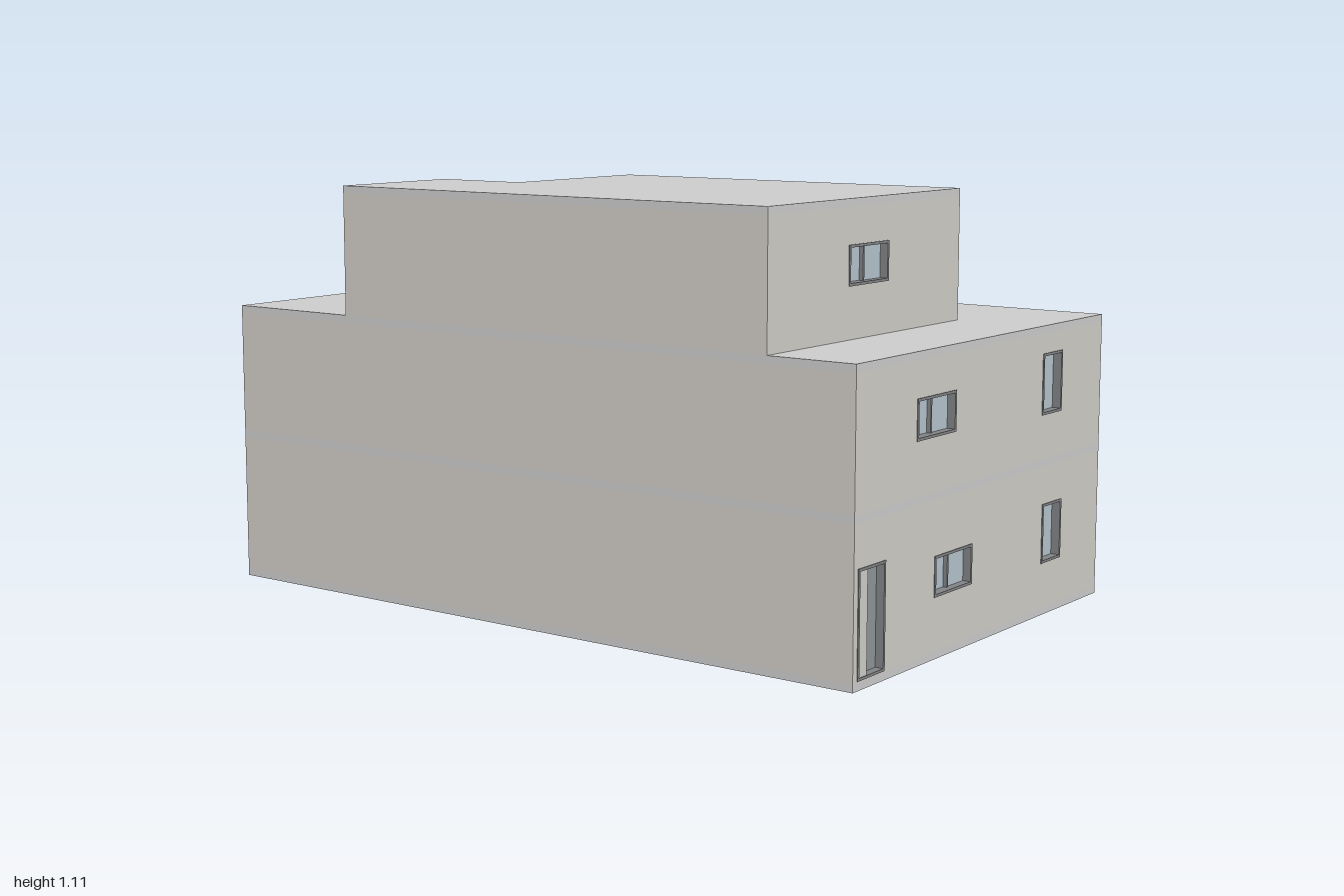
import * as THREE from 'three';

const mat = (color) => new THREE.MeshStandardMaterial({ color, flatShading: true });
const WALL = mat(0xcfccc5), SLAB = mat(0xc4c4c4), FRAME = mat(0x808284);
const GLASS = mat(0xb4c3cc), DOOR = mat(0x8e9499);
const T = 0.06; // wall thickness
const PROUD = 0.002; // frames stand slightly in front of the wall

// Footprints as [x, z], starting with the front wall and running round the building
const LOWER = [[-0.615, 0.998], [0.615, 0.998], [0.615, -0.6], [-0.065, -0.6], [-0.065, -1], [-0.615, -1]];
const UPPER = [[-0.615, 0.755], [0.268, 0.755], [0.268, -0.33], [-0.22, -0.33], [-0.22, -0.6], [-0.615, -0.6]];

function rect(x0, y0, x1, y1, Type = THREE.Shape) {
  const s = new Type();
  s.moveTo(x0, y0); s.lineTo(x1, y0); s.lineTo(x1, y1); s.lineTo(x0, y1); s.closePath();
  return s;
}

function extrude(shape, depth) {
  return new THREE.ExtrudeGeometry(shape, { depth, bevelEnabled: false });
}

function add(parent, name, geometry, material) {
  const m = new THREE.Mesh(geometry, material);
  m.name = name;
  parent.add(m);
  return m;
}

// Flat floor or roof plate over a whole footprint
function slab(parent, name, footprint, y0, y1) {
  const shape = new THREE.Shape(footprint.map(([x, z]) => new THREE.Vector2(x, -z)));
  const g = extrude(shape, y1 - y0).rotateX(-Math.PI / 2).translate(0, y0, 0);
  add(parent, name, g, SLAB);
}

function box(parent, name, x0, y0, x1, y1, zBack, zFront, material) {
  const g = new THREE.BoxGeometry(x1 - x0, y1 - y0, zFront - zBack);
  g.translate((x0 + x1) / 2, (y0 + y1) / 2, (zBack + zFront) / 2);
  add(parent, name, g, material);
}

// Door or window set in a wall opening, in wall coordinates (outside is +z)
function fitting(parent, { kind, x0, y0, x1, y1 }) {
  const group = new THREE.Group();
  group.name = kind;
  const f = 0.007;
  const ring = rect(x0, y0, x1, y1);
  ring.holes.push(rect(x0 + f, y0 + f, x1 - f, y1 - f, THREE.Path));
  add(group, 'frame', extrude(ring, 0.05).translate(0, 0, PROUD - 0.05), FRAME);
  const a = x0 + f, b = x1 - f, lo = y0 + f, hi = y1 - f, mid = (x0 + x1) / 2;
  if (kind === 'door') {
    box(group, 'doorLeaf', a, lo, b, hi, -0.045, -0.02, DOOR);
  } else if (kind === 'slidingWindow') {
    box(group, 'leftPane', a, lo, mid, hi, -0.034, -0.026, GLASS);
    box(group, 'rightPane', mid, lo, b, hi, -0.028, -0.02, GLASS);
    box(group, 'mullion', mid - 0.003, lo, mid + 0.003, hi, -0.036, -0.015, FRAME);
  } else {
    box(group, 'pane', a, lo, b, hi, -0.034, -0.022, GLASS);
  }
  parent.add(group);
}

// One storey of walls; openings are listed by the index of their wall
function storey(parent, name, footprint, y0, y1, openings) {
  const group = new THREE.Group();
  group.name = name;
  footprint.forEach(([ax, az], i) => {
    const [bx, bz] = footprint[(i + 1) % footprint.length];
    const side = new THREE.Group();
    side.name = 'wall' + (i + 1);
    side.position.set(ax, 0, az);
    side.rotation.y = Math.atan2(az - bz, bx - ax);
    const panel = rect(0, y0, Math.hypot(bx - ax, bz - az), y1);
    for (const o of openings.filter((o) => o.wall === i)) {
      panel.holes.push(rect(o.x0, o.y0, o.x1, o.y1, THREE.Path));
      fitting(side, o);
    }
    add(side, 'panel', extrude(panel, T).translate(0, 0, -T), WALL);
    group.add(side);
  });
  parent.add(group);
}

// Front openings are given by x in the model
const front = (kind, x0, y0, x1, y1) => ({ wall: 0, kind, x0: x0 + 0.615, y0, x1: x1 + 0.615, y1 });

export function createModel() {
  const house = new THREE.Group();
  house.name = 'house';

  slab(house, 'groundSlab', LOWER, 0, 0.02);
  storey(house, 'groundFloor', LOWER, 0.02, 0.395, [
    front('door', -0.597, 0.023, -0.478, 0.288),
    front('slidingWindow', -0.252, 0.154, -0.07, 0.256),
    front('window', 0.297, 0.138, 0.402, 0.295),
    { wall: 3, kind: 'window', x0: 0.09, y0: 0.138, x1: 0.19, y1: 0.292 },
  ]);
  slab(house, 'middleSlab', LOWER, 0.395, 0.415);
  storey(house, 'middleFloor', LOWER, 0.415, 0.742, [
    front('slidingWindow', -0.344, 0.548, -0.161, 0.65),
    front('window', 0.284, 0.53, 0.39, 0.69),
  ]);
  slab(house, 'terraceSlab', LOWER, 0.742, 0.762);
  storey(house, 'topFloor', UPPER, 0.762, 1.086, [
    front('slidingWindow', -0.266, 0.893, -0.083, 0.994),
  ]);
  slab(house, 'roofSlab', UPPER, 1.086, 1.106);

  return house;
}
